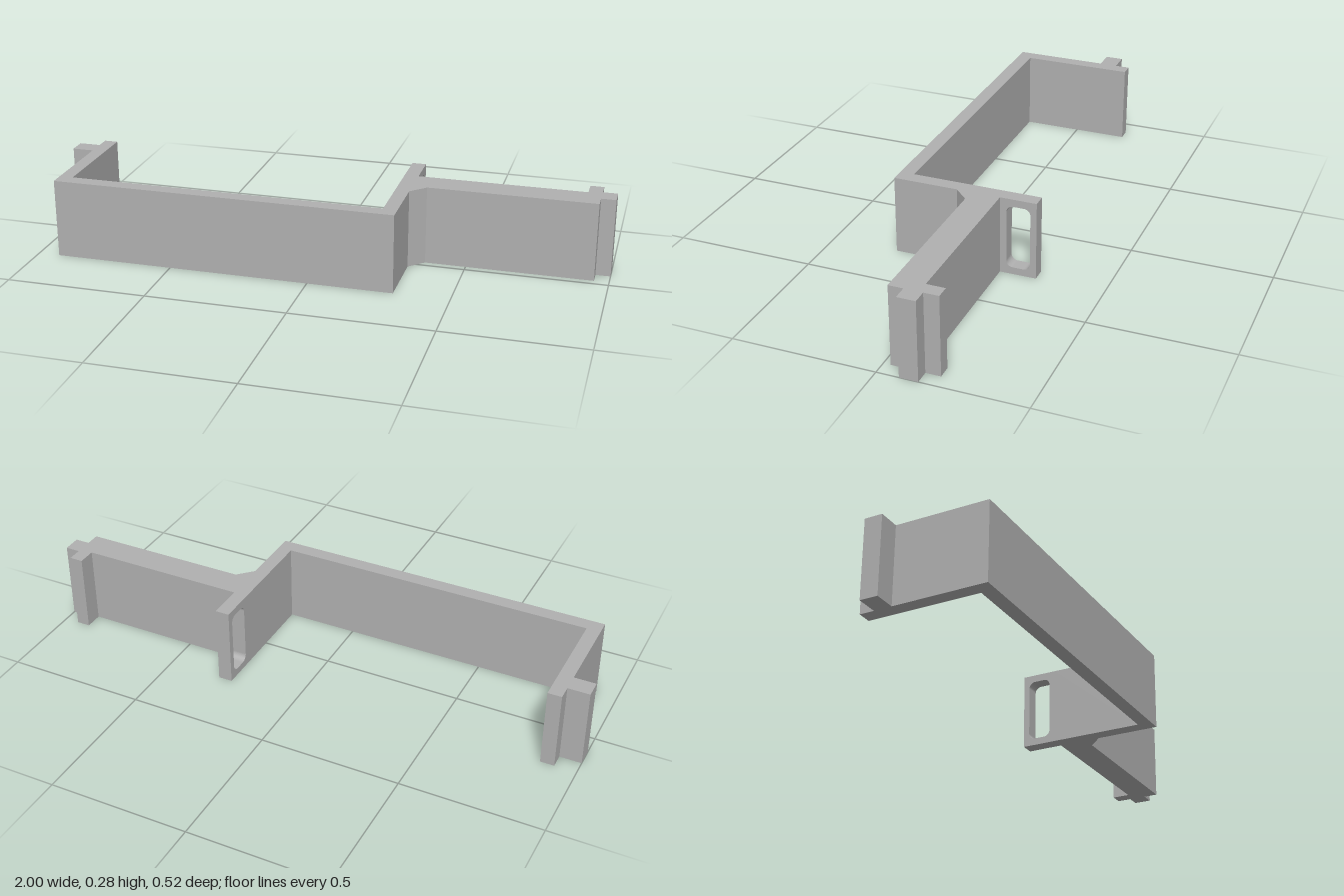
import * as THREE from 'three';

const HEIGHT = 0.284;

// Shape from a list of [x, y] corners
function polygon(points) {
  return new THREE.Shape(points.map(([x, y]) => new THREE.Vector2(x, y)));
}

// Upright slot with rounded corners
function roundedSlot(x0, y0, x1, y1, r) {
  const p = new THREE.Path();
  p.moveTo(x0 + r, y0);
  p.lineTo(x1 - r, y0);
  p.absarc(x1 - r, y0 + r, r, -Math.PI / 2, 0);
  p.lineTo(x1, y1 - r);
  p.absarc(x1 - r, y1 - r, r, 0, Math.PI / 2);
  p.lineTo(x0 + r, y1);
  p.absarc(x0 + r, y1 - r, r, Math.PI / 2, Math.PI);
  p.lineTo(x0, y0 + r);
  p.absarc(x0 + r, y0 + r, r, Math.PI, Math.PI * 1.5);
  return p;
}

export function createModel() {
  const group = new THREE.Group();
  const gray = new THREE.MeshStandardMaterial({ color: 0xb0b0b0 });
  gray.name = 'gray';

  // Bracket: stepped wall with end lugs, as a plan outline of [x, z] corners
  const plan = [
    [-0.923, 0.258], [0.303, 0.258], [0.303, 0.027], [0.355, -0.025],
    [0.948, -0.025], [0.948, -0.077], [1, -0.077], [1, -0.141],
    [0.948, -0.141], [0.948, -0.193], [0.9, -0.193], [0.9, -0.128],
    [0.253, -0.128], [0.253, 0.207], [-0.874, 0.207], [-0.874, -0.193],
    [-0.923, -0.193], [-0.923, -0.141], [-1, -0.141], [-1, -0.077],
    [-0.923, -0.077],
  ];
  const bodyGeometry = new THREE.ExtrudeGeometry(
    polygon(plan.map(([x, z]) => [x, -z])), { depth: HEIGHT, bevelEnabled: false });
  bodyGeometry.rotateX(-Math.PI / 2);
  const body = new THREE.Mesh(bodyGeometry, gray);
  body.name = 'bracketBody';
  group.add(body);

  // Slotted tab behind the middle wall, drawn in (-z, y) and extruded along x
  const tabShape = polygon([[0.128, 0], [0.258, 0], [0.258, HEIGHT], [0.128, HEIGHT]]);
  tabShape.holes.push(roundedSlot(0.151, 0.026, 0.236, 0.257, 0.023));
  const tabGeometry = new THREE.ExtrudeGeometry(tabShape, {
    depth: 0.05, bevelEnabled: false, curveSegments: 8,
  });
  tabGeometry.rotateY(Math.PI / 2);
  const tab = new THREE.Mesh(tabGeometry, gray);
  tab.name = 'slottedTab';
  tab.position.x = 0.253;
  group.add(tab);

  return group;
}
